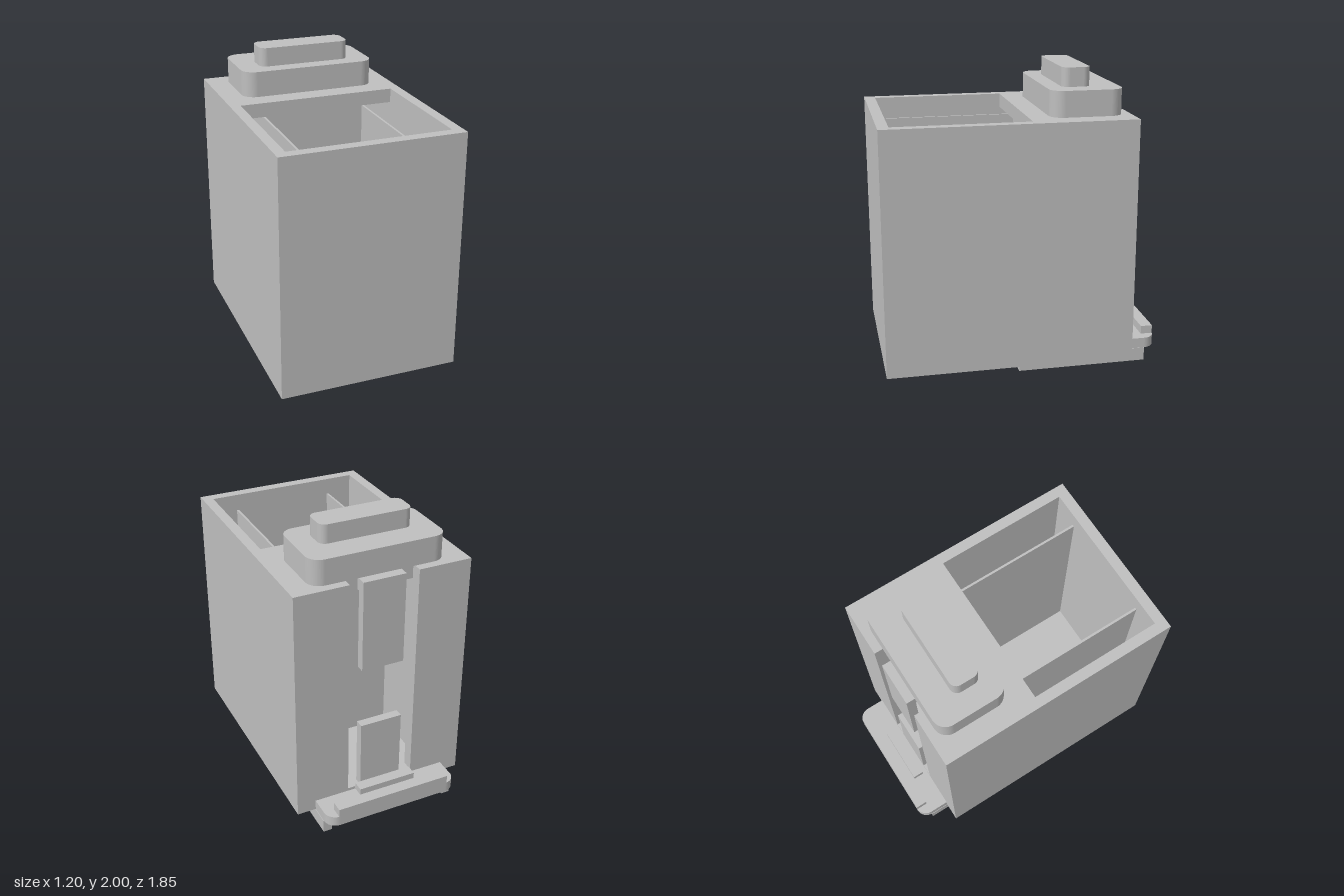
import * as THREE from 'three';

export function createModel() {
  const model = new THREE.Group();
  const grey = new THREE.MeshStandardMaterial({ color: 0xbfbfbf });
  grey.name = 'grey';

  const add = (name, geometry) => {
    const mesh = new THREE.Mesh(geometry, grey);
    mesh.name = name;
    model.add(mesh);
    return mesh;
  };
  // Box given by its limits on each axis
  const box = (name, x0, x1, y0, y1, z0, z1) =>
    add(name, new THREE.BoxGeometry(x1 - x0, y1 - y0, z1 - z0))
      .position.set((x0 + x1) / 2, (y0 + y1) / 2, (z0 + z1) / 2);
  // Plan shape (x, -z) raised from y0 to y1
  const slab = (name, shape, y0, y1) => {
    const g = new THREE.ExtrudeGeometry(shape, { depth: y1 - y0, bevelEnabled: false, curveSegments: 10 });
    add(name, g.rotateX(-Math.PI / 2).translate(0, y0, 0));
  };
  // Rectangle in plan, with rounded back corners and optionally rounded front ones
  const roundedPlan = (w, zBack, zFront, rBack, rFront) => {
    const s = new THREE.Shape();
    const f = -zFront, b = -zBack;
    s.moveTo(-w + rFront, f);
    s.lineTo(w - rFront, f);
    if (rFront) s.absarc(w - rFront, f + rFront, rFront, -Math.PI / 2, 0, false);
    s.lineTo(w, b - rBack);
    s.absarc(w - rBack, b - rBack, rBack, 0, Math.PI / 2, false);
    s.lineTo(-w + rBack, b);
    s.absarc(-w + rBack, b - rBack, rBack, Math.PI / 2, Math.PI, false);
    s.lineTo(-w, f + rFront);
    if (rFront) s.absarc(-w + rFront, f + rFront, rFront, Math.PI, Math.PI * 1.5, false);
    return s;
  };

  // Shell: walls in one piece with a slot in the back, floor and rear top plate
  const half = [[0.235, 0.715], [0.235, 0.635], [0.53, 0.635], [0.53, -0.85]];
  const outer = [[-0.6, 0.715], [-0.6, -0.922], [0.6, -0.922], [0.6, 0.715]];
  const plan = [
    ...outer, ...half,
    ...half.slice().reverse().map(([x, y]) => [-x, y]),
  ].map(([x, y]) => new THREE.Vector2(x, y));
  slab('walls', new THREE.Shape(plan), 0.18, 1.705);
  box('floor', -0.6, 0.6, 0.09, 0.18, -0.715, 0.922);
  box('topPlate', -0.53, 0.53, 1.61, 1.705, -0.635, -0.04);

  // Inner partitions
  for (const s of [-1, 1]) {
    const a = s * 0.345, b = s * 0.36;
    box('divider', Math.min(a, b), Math.max(a, b), 0.18, 1.59, -0.635, 0.85);
  }
  box('crossWall', -0.345, 0.345, 0.18, 1.61, -0.115, -0.1);
  const boss = add('floorBoss', new THREE.CylinderGeometry(0.052, 0.052, 0.02, 32));
  boss.position.set(0, 0.19, 0.39);

  // Tabs in the back slot
  box('upperTab', -0.145, 0.145, 1.08, 1.7, -0.715, -0.655);
  box('upperTabLink', -0.145, 0.145, 1.62, 1.7, -0.655, -0.635);
  box('lowerTab', -0.145, 0.145, 0.18, 0.66, -0.715, -0.655);

  // Stepped cap on top
  slab('cap', roundedPlan(0.458, -0.657, -0.178, 0.09, 0.09), 1.705, 1.875);
  slab('capKnob', roundedPlan(0.312, -0.472, -0.284, 0.05, 0.05), 1.875, 2);

  // Rear ledge with its lip and push bar
  slab('ledge', roundedPlan(0.472, -0.924, -0.715, 0.08, 0), 0.09, 0.16);
  box('ledgeLip', -0.4, 0.4, 0.16, 0.216, -0.924, -0.845);
  box('pushBarStem', -0.17, 0.17, 0.16, 0.195, -0.815, -0.76);
  box('pushBar', -0.2, 0.2, 0.195, 0.24, -0.825, -0.75);

  // Rails and catch underneath
  for (const x of [-0.445, 0.445]) box('rail', x - 0.03, x + 0.03, 0, 0.09, -0.845, 0.03);
  box('catch', -0.147, 0.147, 0.065, 0.09, 0.04, 0.155);
  box('catchStep', -0.147, 0.147, 0.05, 0.065, 0.04, 0.105);

  return model;
}
